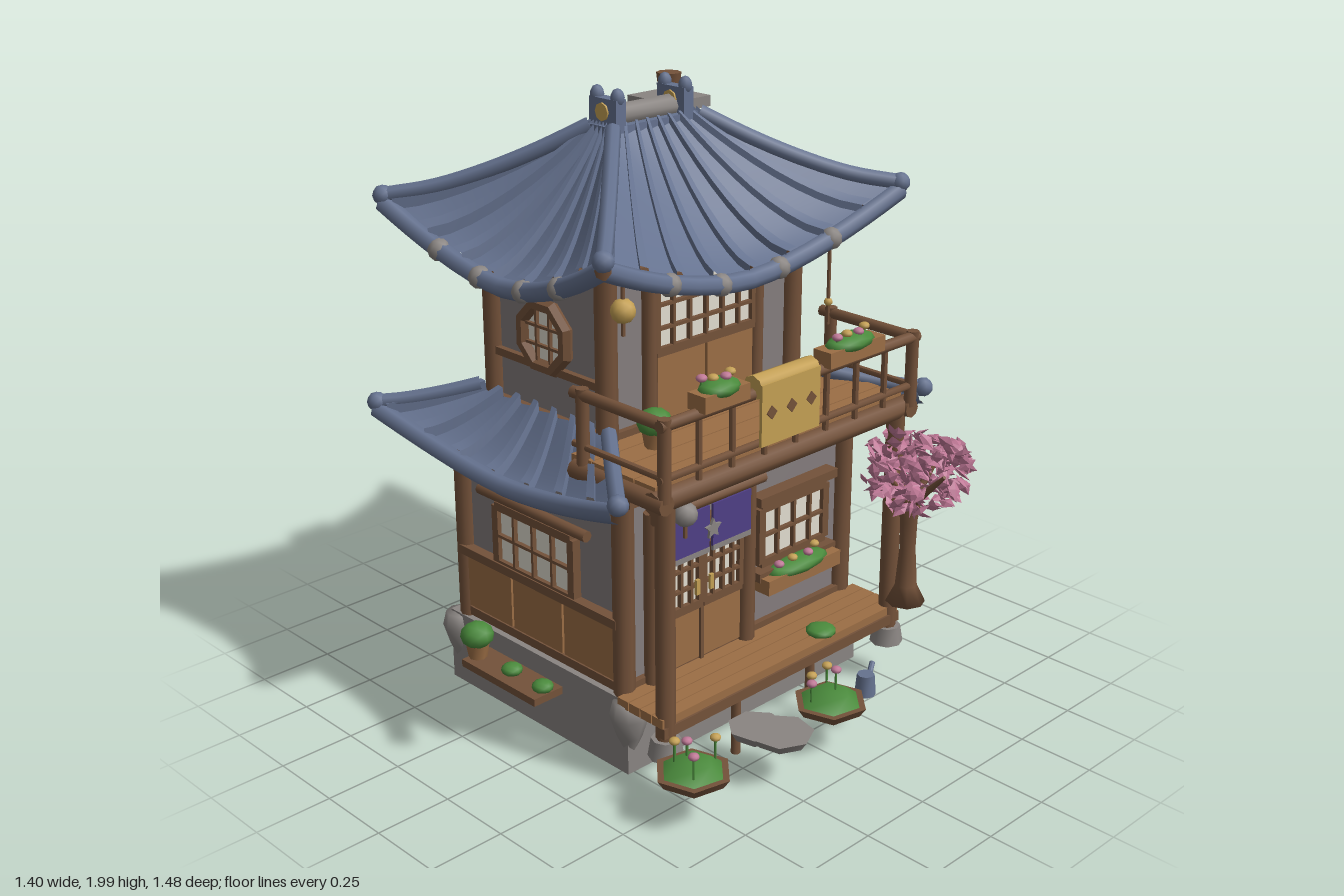
import * as THREE from 'three';
import { mergeGeometries, toCreasedNormals } from 'three/addons/utils/BufferGeometryUtils.js';

const mat = (name, color) => Object.assign(new THREE.MeshStandardMaterial({ color }), { name });
const wood = mat('dark wood', 0x74523a), panel = mat('light wood', 0x9c6e45), slate = mat('slate roof', 0x65728f);
const stone = mat('stone', 0x8a8582), plaster = mat('plaster', 0x857d7e), paper = mat('paper pane', 0xe2ddd0);
const green = mat('leaf green', 0x4a8a3c), pink = mat('blossom pink', 0xbf7896), gold = mat('gold', 0xc4a054);
const purple = mat('purple cloth', 0x4f3f86);
const V = (x, y, z) => new THREE.Vector3(x, y, z), lerp = THREE.MathUtils.lerp, sides = [-1, 1];
let seed = 7;
const rnd = () => (seed = (seed * 16807) % 2147483647) / 2147483647;

function place(parent, name, object, x = 0, y = 0, z = 0) {
  object.name = name;
  object.position.set(x, y, z);
  parent.add(object);
  return object;
}
const put = (p, name, geo, m, ...at) => place(p, name, new THREE.Mesh(geo, m), ...at);
const group = (p, name, x, y, z, ry = 0) => place(p, name, new THREE.Group(), x, y, z).rotateY(ry);
const box = (p, name, m, w, h, d, ...at) => put(p, name, new THREE.BoxGeometry(w, h, d), m, ...at);
const lathe = (p, name, m, pts, ...at) =>
  put(p, name, new THREE.LatheGeometry(pts.map(q => new THREE.Vector2(...q)), 8), m, ...at);
function rod(p, name, m, a, b, r, r2 = r, n = 8) {
  const d = V(...b).sub(V(...a));
  const mesh = put(p, name, toCreasedNormals(new THREE.CylinderGeometry(r2, r, d.length(), n), 0.9), m);
  mesh.position.set(...a).addScaledVector(d, 0.5);
  mesh.quaternion.setFromUnitVectors(V(0, 1, 0), d.normalize());
}
function ball(p, name, m, r, x, y, z, sy = 1, sx = 1) {
  put(p, name, new THREE.IcosahedronGeometry(r, 1), m, x, y, z).scale.set(sx, sy, 1);
}
function star(p, name, m, r, ...at) {
  const s = new THREE.Shape(Array.from({ length: 10 }, (_, i) => new THREE.Vector2(0, i % 2 ? r / 2 : r).rotateAround(new THREE.Vector2(), i * Math.PI / 5)));
  return put(p, name, new THREE.ExtrudeGeometry(s, { depth: 0.009, bevelEnabled: false }), m, ...at);
}

// Curved hip roof: ribbed slopes, soffit, eave rims and hip ridges
function roof(root, name, top, eave, faces, ribs) {
  const g = group(root, name, 0, 0, 0);
  const point = (side, u, v, h = 0) => {
    const [hx, hz, cz] = ['x', 'z', 'cz'].map(k => lerp(top[k], eave[k], v)), inset = 0.05 * v * (1 - u * u);
    const y = h + lerp(top.y, lerp(eave.mid, eave.corner, Math.abs(u) ** 1.7), 1 - (1 - v) ** 1.5);
    const s = side < 2 ? 1 : -1;
    return side % 2 ? V(s * (hx - inset), y, cz - s * u * hz) : V(s * u * hx, y, cz + s * (hz - inset));
  };
  const slope = (side, cols, flip) => {
    const pos = [], idx = [], rows = 8;
    for (const [u, h] of cols) for (let j = 0; j <= rows; j++) pos.push(...point(side, u, j / rows, h).toArray());
    for (let i = 0; i < cols.length - 1; i++)
      for (let j = 0; j < rows; j++) {
        const a = i * (rows + 1) + j, b = a + 1, c = b + rows + 1, d = c - 1;
        idx.push(...(flip ? [a, c, b, a, d, c] : [a, b, c, a, c, d]));
      }
    const geo = new THREE.BufferGeometry().setIndex(idx);
    geo.setAttribute('position', new THREE.Float32BufferAttribute(pos, 3));
    geo.computeVertexNormals();
    return toCreasedNormals(geo, 0.4);
  };
  const tube = (label, pts, r) => put(g, label, new THREE.TubeGeometry(new THREE.CatmullRomCurve3(pts), 16, r, 7), slate);
  const steps = Array.from({ length: 13 }, (_, i) => i / 6 - 1);
  for (const side of faces) {
    const cols = [];
    for (let k = 0; k < ribs[side]; k++)
      for (const [t, h] of [[0, 0.032], [0.25, 0.03], [0.3, 0], [1, 0.008]]) cols.push([2 * (k + t) / ribs[side] - 1, h]);
    put(g, 'tiledSlope', slope(side, cols, false), slate);
    put(g, 'soffit', slope(side, steps.map(u => [u, -0.035]), true), wood);
    tube('eaveRim', steps.map(u => point(side, u, 1, -0.01)), 0.03);
  }
  for (const side of [0, 2])
    for (const u of sides) {
      tube('hipRidge', [0, 0.25, 0.5, 0.75, 1].map(v => point(side, u, v, 0.015)), 0.025);
      ball(g, 'hipEnd', slate, 0.032, ...point(side, u, 1, 0.015).toArray());
    }
  return { g, point };
}

// Lattice window facing +z, with optional ledges above and below
function gridWindow(root, name, x, y, z, ry, w, h, cols, rows, ledge = 0) {
  const g = group(root, name, x, y, z, ry);
  box(g, 'pane', paper, w, h, 0.02);
  for (let i = 0; i <= cols; i++) box(g, 'upright', wood, i % cols ? 0.01 : 0.028, h, 0.03, w * (i / cols - 0.5), 0, 0.01);
  for (let j = 0; j <= rows; j++) box(g, 'crossbar', wood, w, j % rows ? 0.01 : 0.028, 0.03, 0, h * (j / rows - 0.5), 0.01);
  if (ledge) for (const s of sides) box(g, 'ledge', wood, ledge, 0.03, 0.05, 0, s * (h / 2 + 0.035), 0.02);
}
function flowers(p, w, d, y, tall) {
  for (let i = 0; i < 4; i++) {
    const x = w * (i / 4 - 0.375), z = d * (rnd() - 0.5), top = y + tall * (0.6 + 0.4 * rnd());
    rod(p, 'stem', green, [x, y - 0.01, z], [x, top, z], 0.004);
    ball(p, 'flower', i % 2 ? gold : pink, 0.017, x, top, z, 0.7);
  }
}
function flowerBox(root, x, y, z, w) {
  const g = group(root, 'flowerBox', x, y, z);
  box(g, 'trough', panel, w, 0.05, 0.07);
  ball(g, 'greenery', green, 0.05, 0, 0.025, 0, 0.6, w * 8);
  flowers(g, w * 0.75, 0.04, 0.045, 0.015);
}

export function createModel() {
  const root = place(new THREE.Group(), 'teaHouse', new THREE.Group());
  root.removeFromParent();
  // Stone foundation with wedge stones
  box(root, 'foundation', stone, 1.05, 0.25, 0.86, 0, 0.125, -0.15);
  for (const [x, z] of [[-.5, .26], [.5, .26], [-.5, -.56], [.5, -.56], [0, -.57], [-.2, .26], [.15, .26]])
    lathe(root, 'wedgeStone', stone, [[0, -.2], [.04, -.11], [.062, -.04], [.05, .01], [0, .02]], x, 0.23, z);
  // Plaster walls, corner posts and beams
  box(root, 'lowerWalls', plaster, 0.98, 0.71, 0.75, 0, 0.595, -0.145);
  box(root, 'upperWalls', plaster, 0.8, 0.6, 0.52, 0, 1.25, -0.19);
  for (const [x, z0, z1, y0, y1, beams] of [[.49, -.52, .23, .24, .93, [.27, .9]], [.4, -.45, .07, .97, 1.56, [1.01, 1.5]]]) {
    for (const s of sides) for (const z of [z0, z1]) rod(root, 'cornerPost', wood, [s * x, y0, z], [s * x, y1, z], 0.034);
    for (const y of beams) {
      for (const s of sides) box(root, 'sideBeam', wood, 0.04, 0.03, z1 - z0, s * x, y, (z0 + z1) / 2);
      for (const z of [z0, z1]) box(root, 'crossBeam', wood, x * 2, 0.03, 0.04, 0, y, z);
    }
  }
  // Side walls: wainscot, lattice window and octagonal window
  for (const s of sides) {
    for (let i = 0; i < 3; i++) box(root, 'wainscot', panel, 0.03, 0.19, 0.235, s * 0.495, 0.385, -0.395 + i * 0.245);
    box(root, 'wainscotRail', wood, 0.05, 0.03, 0.75, s * 0.5, 0.49, -0.145);
    box(root, 'upperSideRail', wood, 0.04, 0.025, 0.52, s * 0.4, 1.17, -0.19);
    gridWindow(root, 'sideWindow', s * 0.495, 0.6, -0.155, s * Math.PI / 2, 0.36, 0.2, 4, 2);
    rod(root, 'sideLintel', wood, [s * 0.515, 0.735, 0.1], [s * 0.515, 0.735, -0.41], 0.018);
    const o = group(root, 'octagonWindow', s * 0.405, 1.27, -0.19, s * Math.PI / 2);
    put(o, 'pane', new THREE.CircleGeometry(0.1, 8, Math.PI / 8), paper, 0, 0, 0.008);
    put(o, 'frame', toCreasedNormals(new THREE.TorusGeometry(0.105, 0.024, 6, 8), 0.5), wood, 0, 0, 0.01).rotateZ(Math.PI / 8);
    for (const k of [-0.03, 0.03]) {
      box(o, 'upright', wood, 0.009, 0.19, 0.015, k, 0, 0.012);
      box(o, 'crossbar', wood, 0.19, 0.009, 0.015, 0, k, 0.012);
    }
  }
  gridWindow(root, 'lowerBackWindow', 0, 0.61, -0.525, Math.PI, 0.32, 0.2, 4, 2, 0.44);
  gridWindow(root, 'upperBackWindow', 0, 1.28, -0.455, Math.PI, 0.3, 0.18, 4, 2, 0.4);
  // Roofs and ridge ornament
  roof(root, 'lowerRoof', { x: .43, z: .3, cz: -.19, y: 1.03 }, { x: .67, z: .565, cz: -.155, mid: .86, corner: .97 }, [1, 2, 3], [0, 7, 5, 7]);
  const { g: cap, point } = roof(root, 'upperRoof', { x: .18, z: .05, cz: -.18, y: 1.86 }, { x: .625, z: .5, cz: -.185, mid: 1.47, corner: 1.64 }, [0, 1, 2, 3], [8, 7, 5, 7]);
  for (const side of [0, 1, 3])
    for (const u of [-0.55, -0.2, 0.2, 0.55]) ball(cap, 'eaveStud', stone, 0.036, ...point(side, u, 1, -0.01).toArray());
  box(cap, 'ridgeBase', slate, 0.36, 0.04, 0.11, -0.01, 1.86, -0.18);
  rod(cap, 'ridgeRoll', stone, [-0.17, 1.9, -0.18], [0.15, 1.9, -0.18], 0.036);
  for (const x of [-0.155, 0.125]) {
    box(cap, 'ridgeEnd', slate, 0.04, 0.1, 0.12, x, 1.91, -0.18);
    for (const z of [-0.225, -0.135]) ball(cap, 'ridgeKnob', slate, 0.022, x, 1.965, z, 1.3);
    rod(cap, 'ridgeCap', gold, [x - 0.026, 1.92, -0.18], [x + 0.026, 1.92, -0.18], 0.028);
  }
  // Chimney
  box(root, 'chimneyStack', stone, 0.13, 0.25, 0.14, 0.2, 1.75, -0.285);
  box(root, 'chimneyPlate', stone, 0.185, 0.035, 0.185, 0.2, 1.885, -0.285);
  rod(root, 'chimneyPot', wood, [0.2, 1.9, -0.285], [0.2, 1.975, -0.285], 0.03, 0.04);
  // Porch and balcony decks, posts and railing
  for (let i = 0; i < 4; i++) {
    box(root, 'porchPlank', panel, 1.08, 0.03, 0.046, 0, 0.25, 0.275 + i * 0.05);
    box(root, 'balconyPlank', panel, 1.08, 0.025, 0.085, 0, 0.99, 0.11 + i * 0.09);
  }
  box(root, 'porchBeam', wood, 1.08, 0.035, 0.03, 0, 0.22, 0.44);
  rod(root, 'balconyBeam', wood, [-0.56, 0.96, 0.43], [0.56, 0.96, 0.43], 0.036);
  box(root, 'balconySoffit', wood, 1.06, 0.02, 0.35, 0, 0.965, 0.25);
  box(root, 'headerBeam', wood, 1.0, 0.05, 0.05, 0, 0.9, 0.25);
  for (const x of [-0.2, 0.14]) rod(root, 'porchLeg', wood, [x, 0, 0.42], [x, 0.23, 0.42], 0.015);
  for (const s of sides) {
    rod(root, 'porchPost', wood, [s * 0.51, 0.16, 0.43], [s * 0.51, 0.95, 0.43], 0.03);
    rod(root, 'postFoot', stone, [s * 0.51, 0.13, 0.43], [s * 0.51, 0.19, 0.43], 0.055, 0.045);
    for (const [y, r] of [[0.96, 0.03], [1.04, 0.011], [1.2, 0.019]]) rod(root, 'sideRail', wood, [s * 0.54, y, 0.08], [s * 0.54, y, 0.47], r);
    for (const z of [0.12, 0.46]) rod(root, 'railPost', wood, [s * 0.54, 0.97, z], [s * 0.54, 1.22, z], 0.02);
  }
  for (const [y, r] of [[1.04, 0.012], [1.2, 0.019]]) rod(root, 'frontRail', wood, [-0.56, y, 0.46], [0.56, y, 0.46], r);
  for (let x = -0.405; x < 0.5; x += 0.135) rod(root, 'baluster', wood, [x, 1, 0.46], [x, 1.2, 0.46], 0.01);
  flowerBox(root, -0.33, 1.235, 0.465, 0.18);
  flowerBox(root, 0.23, 1.235, 0.465, 0.25);
  // Gold banner over the rail
  box(root, 'bannerFront', gold, 0.25, 0.19, 0.01, -0.065, 1.14, 0.495);
  rod(root, 'bannerFold', gold, [-0.19, 1.22, 0.462], [0.06, 1.22, 0.462], 0.038);
  for (const x of [-0.15, -0.065, 0.02]) box(root, 'bannerDiamond', wood, 0.03, 0.03, 0.006, x, 1.145, 0.501).rotateZ(Math.PI / 4);
  // Upper front: balcony doors
  gridWindow(root, 'balconyWindow', -0.01, 1.35, 0.075, 0, 0.42, 0.22, 6, 3);
  for (const x of [-0.115, 0.095]) box(root, 'balconyDoorPanel', panel, 0.2, 0.22, 0.03, x, 1.12, 0.08);
  for (const x of [-0.24, 0.22]) rod(root, 'balconyDoorPost', wood, [x, 0.99, 0.085], [x, 1.5, 0.085], 0.024);
  // Lower front: sliding doors with split curtain, and a window
  for (const s of sides) {
    const x = -0.195 + s * 0.09;
    box(root, 'doorPanel', panel, 0.17, 0.19, 0.03, x, 0.37, 0.245);
    gridWindow(root, 'doorLattice', x, 0.6, 0.245, 0, 0.17, 0.27, 4, 4);
    box(root, 'doorHandle', gold, 0.015, 0.05, 0.01, x - s * 0.06, 0.53, 0.275);
    box(root, 'curtain', purple, 0.165, 0.14, 0.009, x, 0.735, 0.3);
    box(root, 'curtainHem', stone, 0.165, 0.018, 0.01, x, 0.66, 0.3);
    rod(root, 'doorPost', wood, [-0.195 + s * 0.203, 0.26, 0.26], [-0.195 + s * 0.203, 0.83, 0.26], 0.028);
  }
  box(root, 'doorGap', wood, 0.014, 0.54, 0.035, -0.195, 0.54, 0.25);
  star(root, 'curtainStar', stone, 0.034, -0.195, 0.73, 0.306);
  rod(root, 'doorLintel', wood, [-0.42, 0.82, 0.285], [0.05, 0.82, 0.285], 0.02);
  gridWindow(root, 'frontWindow', 0.225, 0.595, 0.24, 0, 0.3, 0.19, 4, 2, 0.36);
  flowerBox(root, 0.22, 0.44, 0.285, 0.34);
  ball(root, 'porchMoss', green, 0.05, 0.2, 0.275, 0.41, 0.4);
  // Lanterns
  for (const [x, y, z, m] of [[-0.45, 1.45, 0.2, gold], [-0.4, 0.87, 0.4, stone], [0.455, 1.27, 0.18, gold]]) {
    ball(root, 'lantern', m, x > 0 ? 0.014 : 0.038, x, y, z);
    rod(root, 'lanternCord', wood, [x, y - 0.075, z], [x, y + (x > 0 ? 0.25 : 0.1), z], 0.006);
  }
  // Blossom tree
  lathe(root, 'treeTrunk', wood, [[0, .31], [.065, .31], [.036, .37], [.026, .5], [.028, .6], [.045, .7]], 0.5, 0, 0.51);
  for (let i = 0; i < 4; i++) rod(root, 'branch', wood, [0.5, 0.65, 0.51], [0.48 + 0.12 * Math.cos(i * 1.6), 0.8, 0.54 + 0.12 * Math.sin(i * 1.6)], 0.018, 0.006);
  const leaves = Array.from({ length: 300 }, () => {
    const d = V(rnd() - 0.5, rnd() - 0.5, rnd() - 0.5).normalize().multiplyScalar(0.45 + 0.55 * rnd());
    const leaf = new THREE.OctahedronGeometry(1).scale(0.034, 0.007, 0.02).rotateX(rnd() * 3).rotateY(rnd() * 6).rotateZ(rnd() * 3);
    return leaf.translate(0.48 + d.x * 0.18, 0.785 + d.y * 0.14, 0.54 + d.z * 0.18);
  });
  put(root, 'blossoms', mergeGeometries(leaves), pink);
  // Garden beds, stepping stones and watering can
  for (const [x, z] of [[-0.545, 0.58], [0.04, 0.595]]) {
    const g = group(root, 'gardenBed', x, 0.13, z, 0.3);
    rod(g, 'bedRim', wood, [0, 0, 0], [0, 0.03, 0], 0.1, 0.12, 6);
    rod(g, 'bedGrass', green, [0, 0.025, 0], [0, 0.06, 0], 0.105, 0.06, 6);
    flowers(g, 0.17, 0.12, 0.05, 0.09);
  }
  for (const [x, z, r] of [[-0.24, 0.545, 0.09], [-0.21, 0.62, 0.1]]) rod(root, 'steppingStone', stone, [x, 0.135, z], [x, 0.165, z], r * 0.8, r, 7);
  rod(root, 'wateringCan', slate, [0.19, 0.13, 0.61], [0.19, 0.2, 0.61], 0.034, 0.028);
  rod(root, 'canSpout', slate, [0.21, 0.15, 0.6], [0.27, 0.195, 0.57], 0.009);
  // Star rack on one side, plant shelf on the other
  for (const [x, y] of [[0.56, 0.265], [0.6, 0.235], [0.6, 0.14]]) rod(root, 'rackBar', wood, [x, y, -0.12], [x, y, -0.41], 0.013);
  for (const z of [-0.15, -0.38]) {
    rod(root, 'rackArm', wood, [0.5, 0.265, z], [0.63, 0.235, z], 0.012);
    rod(root, 'rackLeg', wood, [0.6, 0.13, z], [0.6, 0.25, z], 0.01);
  }
  for (let i = 0; i < 6; i++) star(root, 'rackStar', panel, 0.026, 0.6, i < 3 ? 0.205 : 0.16, -0.2 - (i % 3) * 0.065).rotateY(Math.PI / 2);
  box(root, 'plantShelf', wood, 0.12, 0.025, 0.36, -0.58, 0.17, -0.2);
  for (const z of [-0.05, -0.2]) ball(root, 'shelfPlant', green, 0.035, -0.58, 0.195, z, 0.6);
  for (const [x, y, z] of [[-0.59, 0.25, -0.36], [-0.33, 1.07, 0.2]]) {
    rod(root, 'pot', panel, [x, y - 0.07, z], [x, y, z], 0.03, 0.042);
    ball(root, 'shrub', green, 0.055, x, y + 0.01, z, 0.8);
  }
  return root;
}
